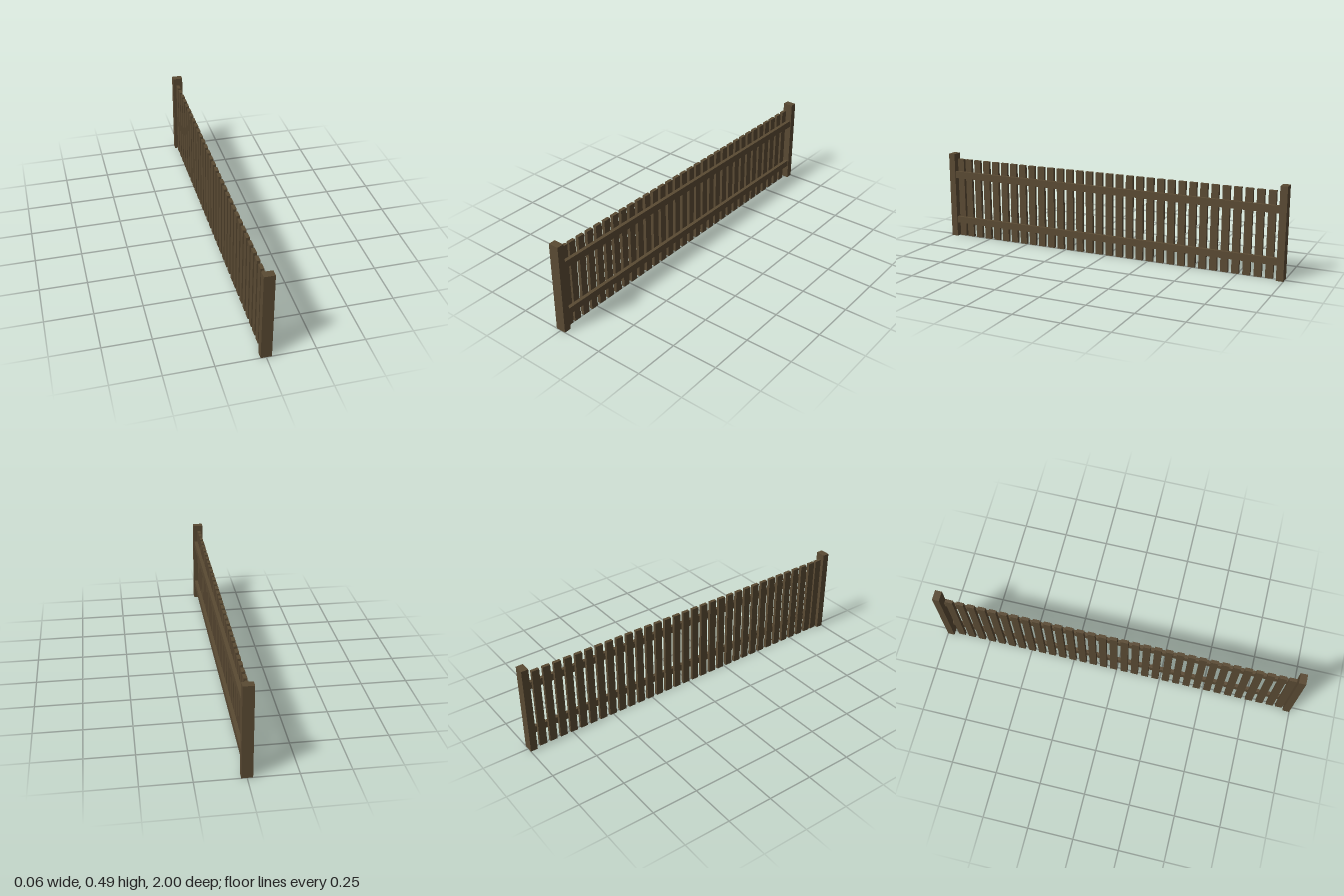
import * as THREE from 'three';

export function createModel() {
  const fence = new THREE.Group();
  fence.name = 'fence';
  const wood = new THREE.MeshStandardMaterial({ color: 0x5a4a33, flatShading: true });

  // Board spanning the given min/max corners
  function board(name, [x0, y0, z0], [x1, y1, z1]) {
    const mesh = new THREE.Mesh(new THREE.BoxGeometry(x1 - x0, y1 - y0, z1 - z0), wood);
    mesh.position.set((x0 + x1) / 2, (y0 + y1) / 2, (z0 + z1) / 2);
    mesh.name = name;
    fence.add(mesh);
  }

  // End posts
  board('frontPost', [-0.028, 0, 0.962], [0.028, 0.492, 1]);
  board('backPost', [-0.028, 0, -1], [0.028, 0.492, -0.962]);

  // Horizontal rails on the +x side of the pickets
  board('lowerRail', [0.004, 0.08, -0.965], [0.023, 0.117, 0.965]);
  board('upperRail', [0.004, 0.35, -0.965], [0.023, 0.389, 0.965]);

  // Evenly spaced pickets, plus one closer to the front post
  const centres = [0.936];
  for (let i = 0; i <= 30; i++) centres.push(0.884 - i * 0.0601);
  for (const z of centres) board('picket', [-0.014, 0, z - 0.02], [0.004, 0.46, z + 0.02]);

  return fence;
}
